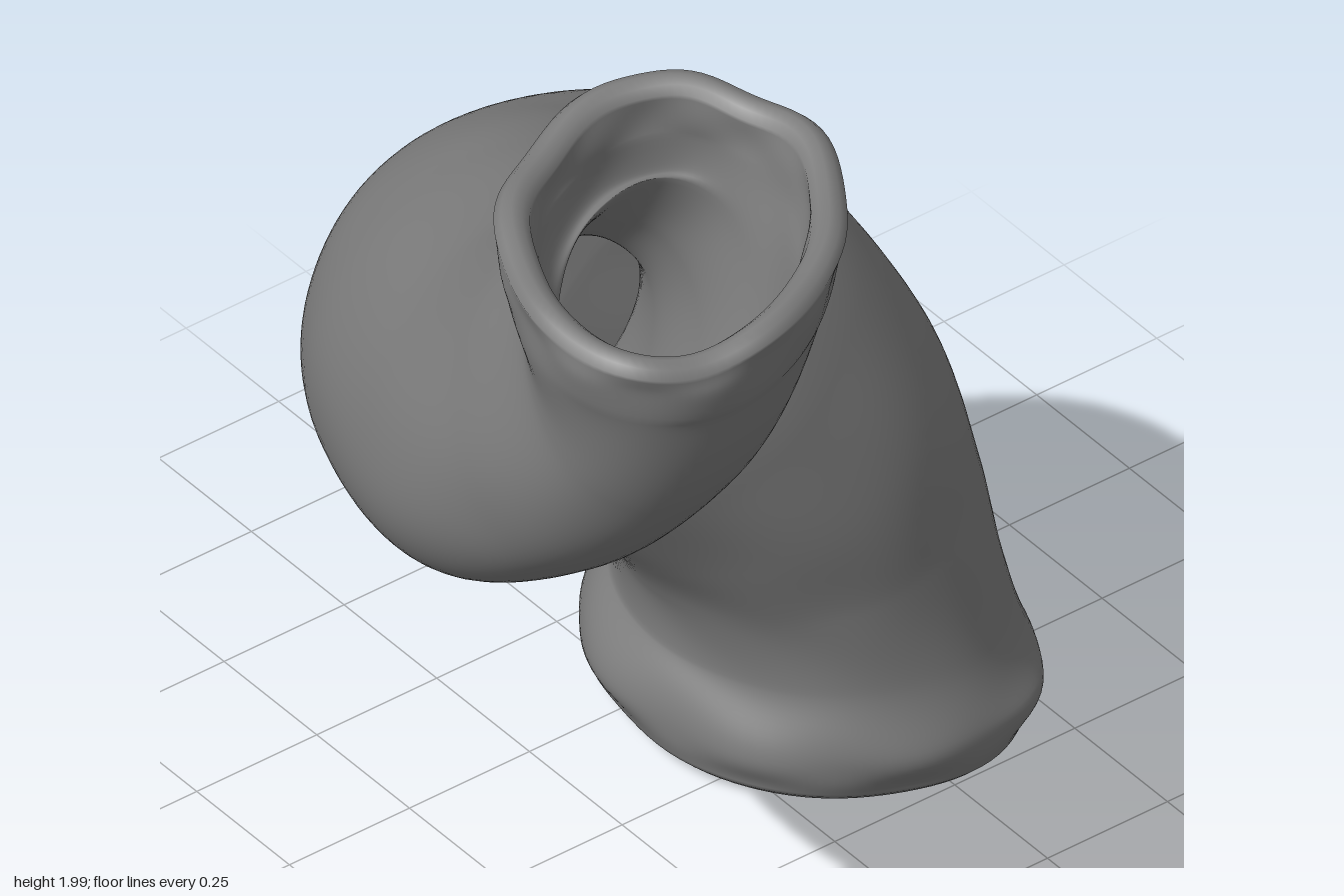
import * as THREE from 'three';

// Cross-sections from base to mouth: centre x, y, z, long half-axis, short half-axis, heading in degrees
const SECTIONS = [
  [-0.37, 0.03, -0.48, 0.39, 0.32, 8],
  [-0.37, 0.11, -0.48, 0.412, 0.338, 8],
  [-0.368, 0.24, -0.48, 0.365, 0.295, 5],
  [-0.375, 0.42, -0.45, 0.355, 0.3, 0],
  [-0.385, 0.6, -0.38, 0.36, 0.325, 0],
  [-0.425, 0.78, -0.26, 0.365, 0.345, 3],
  [-0.46, 0.92, -0.13, 0.37, 0.335, 10],
  [-0.415, 1.07, 0.09, 0.365, 0.29, 28],
  [-0.27, 1.165, 0.26, 0.35, 0.255, 46],
  [0.06, 1.315, 0.44, 0.34, 0.235, 68],
  [0.3, 1.5, 0.485, 0.335, 0.235, 86],
  [0.465, 1.7, 0.475, 0.345, 0.235, 90],
  [0.5, 1.85, 0.48, 0.37, 0.275, 90],
  [0.505, 1.94, 0.48, 0.375, 0.29, 90],
];

const AROUND = 96, ALONG = 150;
const { smoothstep, degToRad } = THREE.MathUtils;

const curveOf = (from) => new THREE.CatmullRomCurve3(
  SECTIONS.map((s) => new THREE.Vector3(s[from], s[from + 1], s[from + 2])), false, 'catmullrom', 0.5);

function createTube() {
  const path = curveOf(0), sizes = curveOf(3);
  const rows = [];

  // One closed ring, inset from the outer skin and lifted along the path
  function ring(t, inset, lift) {
    const c = path.getPoint(t), size = sizes.getPoint(t), tangent = path.getTangent(t);
    // keep both openings level
    const level = Math.max(smoothstep(t, 0.85, 1), 1 - smoothstep(t, 0, 0.2));
    tangent.lerp(new THREE.Vector3(0, 1, 0), level).normalize();
    const heading = degToRad(size.z);
    const side = new THREE.Vector3(Math.cos(heading), 0, -Math.sin(heading));
    side.addScaledVector(tangent, -side.dot(tangent)).normalize();
    // the flattened section rolls over as the tube turns
    side.applyAxisAngle(tangent, degToRad(47) * smoothstep(size.z, 0, 45));
    const up = new THREE.Vector3().crossVectors(tangent, side);
    const foot = 1 - smoothstep(t, 0.03, 0.16);
    const mouth = smoothstep(t, 0.86, 1);
    const rim = Math.max(foot, mouth);
    const points = [];
    for (let j = 0; j < AROUND; j++) {
      const a = (j / AROUND) * Math.PI * 2;
      // hand-modelled unevenness, strongest at the rims
      const lumps = Math.sin(3 * a + 5 * t) * 0.45 + Math.sin(5 * a - 14 * t + 1) * 0.35
        + Math.sin(8 * a + 2) * Math.sin(50 * t + 1) * 0.35;
      const bump = lumps * (0.003 + 0.009 * rim) - inset;
      const p = c.clone()
        .addScaledVector(side, (size.x + bump) * Math.cos(a))
        .addScaledVector(up, (size.y + bump) * Math.sin(a))
        .addScaledVector(tangent, lift);
      // sloping, wavy edges
      const wave = 0.5 * Math.sin(3 * a + 1) + 0.4 * Math.sin(5 * a) + 0.25 * Math.sin(8 * a + 2);
      p.y += mouth * (0.012 * wave - 0.05 * (p.x - 0.5 + p.z - 0.48)) + foot * 0.007 * wave;
      points.push(p);
    }
    rows.push(points);
  }

  // Outer skin, top lip, inner wall, bottom lip
  for (let i = 0; i <= ALONG; i++) ring(i / ALONG, 0, 0);
  ring(1, 0.012, 0.013);
  ring(1, 0.03, 0.02);
  ring(1, 0.048, 0.012);
  for (let i = ALONG; i >= 0; i--) ring(i / ALONG, 0.06, 0);
  ring(0, 0.048, -0.012);
  ring(0, 0.03, -0.02);
  ring(0, 0.012, -0.012);

  const index = [];
  for (let i = 0; i < rows.length; i++) {
    const r = i * AROUND, n = ((i + 1) % rows.length) * AROUND;
    for (let j = 0; j < AROUND; j++) {
      const k = (j + 1) % AROUND;
      index.push(r + j, r + k, n + j, r + k, n + k, n + j);
    }
  }
  const geometry = new THREE.BufferGeometry().setFromPoints(rows.flat());
  geometry.setIndex(index);
  geometry.computeVertexNormals();
  return geometry;
}

export function createModel() {
  const group = new THREE.Group();
  group.name = 'bentHollowTube';
  const material = new THREE.MeshStandardMaterial({ color: 0x7c7c7c });
  const tube = new THREE.Mesh(createTube(), material);
  tube.name = 'tubeWall';
  group.add(tube);
  return group;
}
